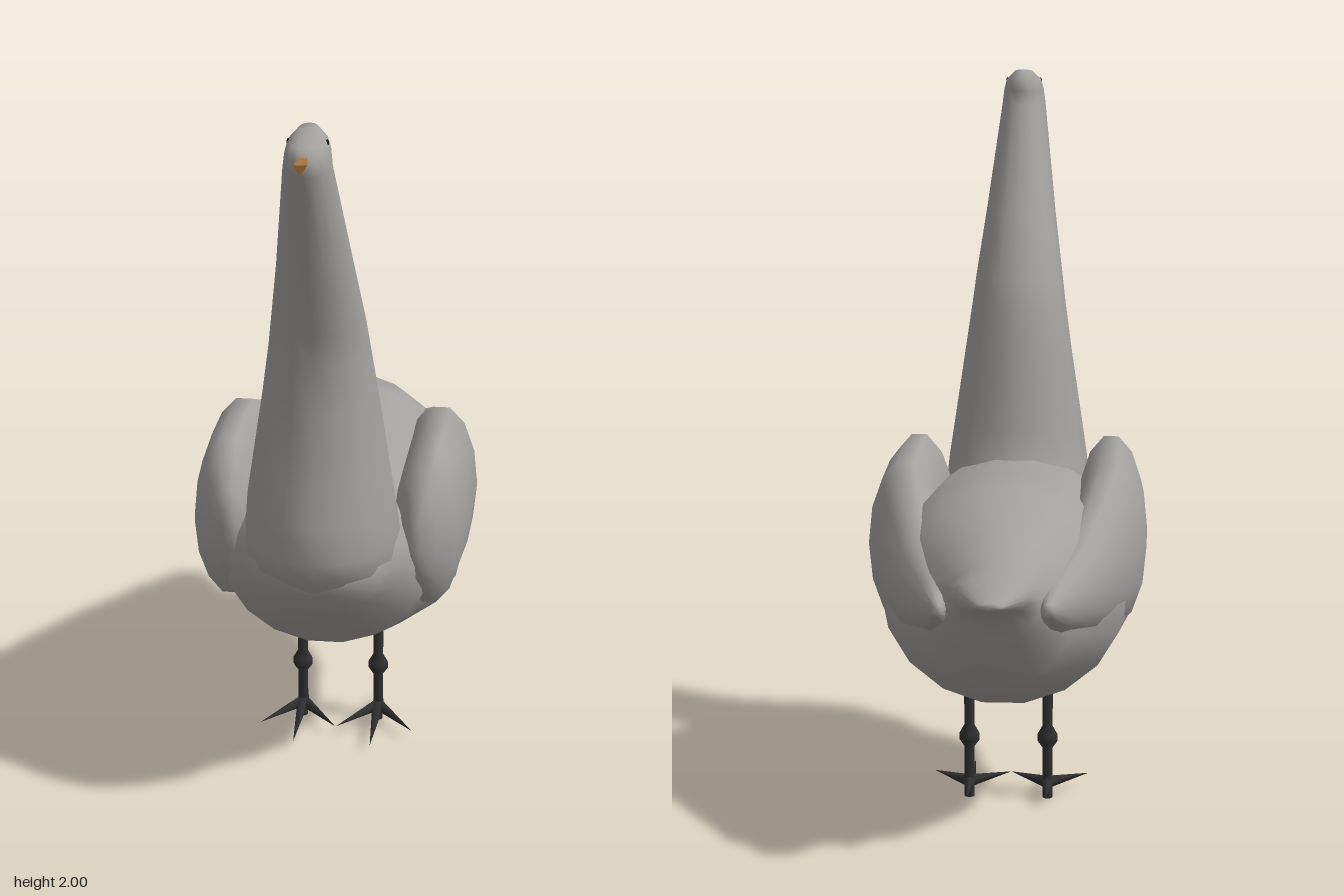
import * as THREE from 'three';

const mat = (name, color) => {
  const m = new THREE.MeshStandardMaterial({ color });
  m.name = name;
  return m;
};

// Smooth closed skin through rings of equal point count, capped at both ends
function loft(rings) {
  const n = rings[0].length, pos = [], idx = [];
  rings.forEach(r => r.forEach(p => pos.push(p.x, p.y, p.z)));
  for (let i = 0; i < rings.length - 1; i++) {
    for (let j = 0; j < n; j++) {
      const k = (j + 1) % n, a = i * n, b = a + n;
      idx.push(a + j, a + k, b + k, a + j, b + k, b + j);
    }
  }
  [0, rings.length - 1].forEach((ri, end) => {
    const c = rings[ri].reduce((s, p) => s.add(p), new THREE.Vector3()).divideScalar(n);
    const ci = pos.length / 3;
    pos.push(c.x, c.y, c.z);
    for (let j = 0; j < n; j++) {
      const a = ri * n + j, b = ri * n + (j + 1) % n;
      idx.push(ci, end ? a : b, end ? b : a);
    }
  });
  // Turn the faces outward if the rings run the other way
  const P = i => new THREE.Vector3().fromArray(pos, i * 3);
  let volume = 0;
  for (let i = 0; i < idx.length; i += 3) volume += P(idx[i]).dot(P(idx[i + 1]).cross(P(idx[i + 2])));
  if (volume < 0) idx.reverse();
  const g = new THREE.BufferGeometry();
  g.setAttribute('position', new THREE.Float32BufferAttribute(pos, 3));
  g.setIndex(idx);
  g.computeVertexNormals();
  return g;
}

// Ring of points made from a function of angle
const ring = (n, f) => Array.from({ length: n }, (_, i) => {
  const a = i / n * Math.PI * 2;
  return new THREE.Vector3(...f(Math.cos(a), Math.sin(a)));
});

export function createModel() {
  const model = new THREE.Group();
  const plumage = mat('plumage grey', 0xa3a19e);
  const dark = mat('leg charcoal', 0x303030);
  const horn = mat('beak brown', 0xa8743a);
  const black = mat('eye black', 0x111111);

  const add = (name, geometry, material, parent = model) => {
    const m = new THREE.Mesh(geometry, material);
    m.name = name;
    parent.add(m);
    return m;
  };

  // Body: z, bottom, top, half width
  const body = [
    [0.57, 0.69, 0.80, 0.09], [0.50, 0.60, 0.86, 0.17], [0.42, 0.54, 0.90, 0.21],
    [0.32, 0.43, 0.92, 0.28], [0.04, 0.32, 0.93, 0.36], [-0.27, 0.33, 0.97, 0.335],
    [-0.34, 0.35, 0.955, 0.315], [-0.42, 0.39, 0.925, 0.285], [-0.57, 0.46, 0.875, 0.205],
    [-0.67, 0.62, 0.82, 0.125], [-0.71, 0.685, 0.795, 0.1], [-0.80, 0.725, 0.745, 0.035],
  ];
  add('body', loft(body.map(([z, b, t, w]) =>
    ring(18, (c, s) => [c * w, (b + t) / 2 + s * (t - b) / 2, z]))), plumage);

  // Neck and head: y, back z, front z, half width
  const neck = [
    [0.50, 0.10, 0.36, 0.13], [0.60, 0.05, 0.50, 0.19], [0.74, 0.08, 0.60, 0.21],
    [0.80, 0.10, 0.62, 0.21], [0.90, 0.16, 0.61, 0.20], [1.00, 0.20, 0.585, 0.185],
    [1.20, 0.235, 0.555, 0.155], [1.34, 0.27, 0.56, 0.135], [1.42, 0.295, 0.575, 0.125],
    [1.60, 0.39, 0.625, 0.10], [1.90, 0.565, 0.73, 0.063], [1.94, 0.55, 0.738, 0.058],
    [1.97, 0.57, 0.71, 0.05], [1.995, 0.595, 0.645, 0.025],
  ];
  add('neckAndHead', loft(neck.map(([y, b, f, w]) =>
    // Head rings tip forward toward the beak
    ring(16, (c, s) => [c * w, y + (y > 1.95 ? -s * 0.005 : 0), (b + f) / 2 + s * (f - b) / 2]))), plumage);

  // Beak: three-sided, flaring toward its blunt tip
  const beak = add('beak', new THREE.CylinderGeometry(0.02, 0.009, 0.085, 3).toNonIndexed(), horn);
  beak.geometry.computeVertexNormals();
  beak.rotation.x = Math.PI / 2;
  beak.position.set(0, 1.944, 0.7575);

  // Folded wing: z, centre x, centre y, half width, half height
  const wing = [
    [0.37, 0.25, 0.77, 0.02, 0.05], [0.35, 0.26, 0.77, 0.05, 0.12],
    [0.29, 0.27, 0.76, 0.09, 0.20], [0.23, 0.275, 0.755, 0.096, 0.235],
    [0.08, 0.28, 0.75, 0.102, 0.238], [-0.11, 0.28, 0.74, 0.104, 0.235],
    [-0.28, 0.25, 0.72, 0.093, 0.18], [-0.45, 0.21, 0.70, 0.08, 0.125],
    [-0.60, 0.16, 0.69, 0.055, 0.07], [-0.70, 0.145, 0.70, 0.015, 0.02],
  ];
  // Leg shaft profile with a bulging joint
  const shaft = [[0, 0], [0.014, 0], [0.014, 0.145], [0.028, 0.165], [0.028, 0.185],
    [0.014, 0.21], [0.016, 0.40]].map(p => new THREE.Vector2(...p));
  const toes = [[0.11, 0.13], [-0.11, 0.13], [0, 0.23], [0, -0.11]];

  for (const side of [1, -1]) {
    const label = side > 0 ? 'left' : 'right';
    add(label + 'Wing', loft(wing.map(([z, x, y, w, h]) =>
      ring(14, (c, s) => [side * (x + c * w), y + s * h, z]))), plumage);

    const eye = add(label + 'Eye', new THREE.SphereGeometry(0.009, 8, 6), black);
    eye.position.set(side * 0.048, 1.965, 0.645);
    eye.scale.x = 0.5;

    const leg = new THREE.Group();
    leg.name = label + 'Leg';
    leg.position.set(side * 0.11, 0, -0.06);
    model.add(leg);
    add('shaft', new THREE.LatheGeometry(shaft, 8), dark, leg);

    // Pointed toes spreading from the ankle
    for (const [x, z] of toes) {
      const dir = new THREE.Vector3(x, -0.012, z);
      const length = dir.length();
      const geometry = new THREE.ConeGeometry(0.018, length, 5);
      geometry.translate(0, length / 2, 0);
      const toe = add('toe', geometry, dark, leg);
      toe.position.y = 0.045;
      toe.quaternion.setFromUnitVectors(new THREE.Vector3(0, 1, 0), dir.normalize());
    }
  }
  return model;
}
